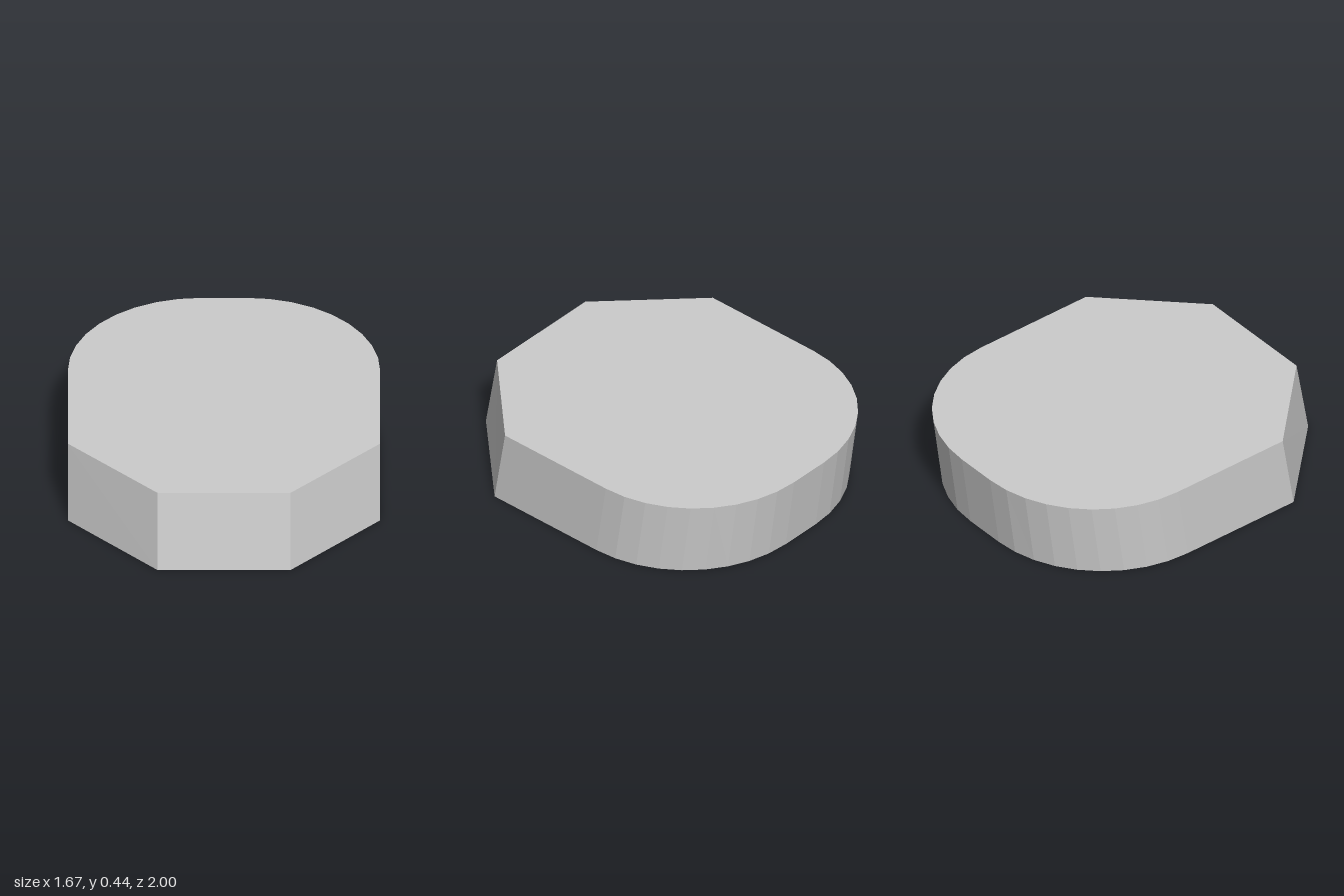
import * as THREE from 'three';

const HEIGHT = 0.44;

// Footprint: chamfered front, straight sides, large rounded back corners
function footprint() {
  const half = [[0.355, 1], [0.835, 0.51]];
  const steps = 9, cx = 0.12, cz = -0.22, rx = 0.715, rz = 0.72;
  for (let i = 0; i <= steps; i++) {
    const a = (i / steps) * Math.PI / 2;
    half.push([cx + rx * Math.cos(a), cz - rz * Math.sin(a)]);
  }
  const mirrored = half.map(([x, z]) => [-x, z]).reverse();
  return new THREE.Shape([...half, ...mirrored].map(([x, z]) => new THREE.Vector2(x, -z)));
}

export function createModel() {
  const group = new THREE.Group();
  group.name = 'slantedBlock';

  const geometry = new THREE.ExtrudeGeometry(footprint(), { depth: HEIGHT, bevelEnabled: false });
  geometry.rotateX(-Math.PI / 2);

  // Lean the block backwards, with a very slight taper in depth
  const pos = geometry.attributes.position;
  for (let i = 0; i < pos.count; i++) {
    const t = pos.getY(i) / HEIGHT;
    pos.setZ(i, pos.getZ(i) * (1 - 0.01 * t) - 0.07 * t);
  }
  geometry.computeVertexNormals();

  const body = new THREE.Mesh(
    geometry,
    new THREE.MeshStandardMaterial({ color: 0xcccccc, flatShading: true })
  );
  body.name = 'body';
  group.add(body);
  return group;
}
